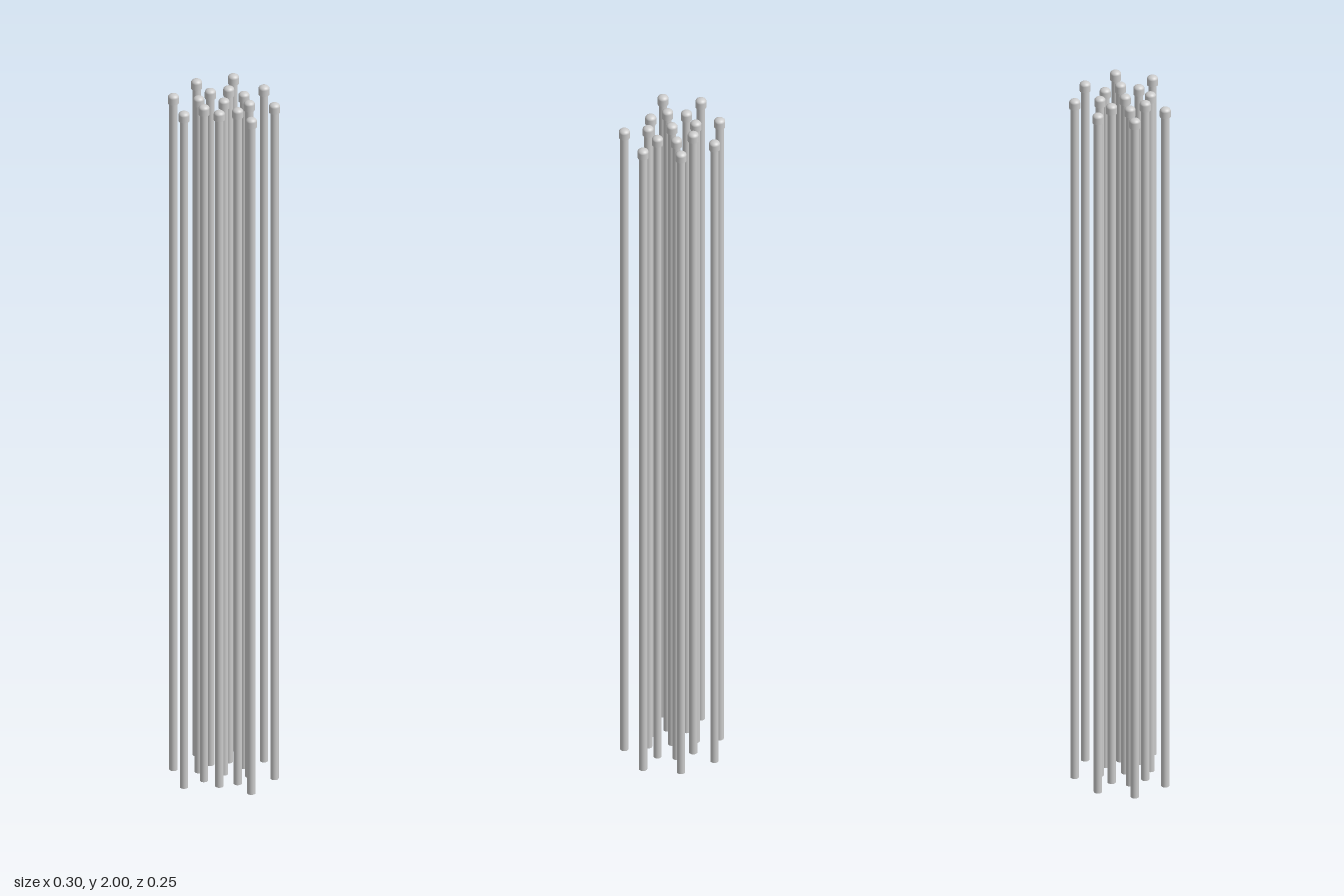
import * as THREE from 'three';

const MAT = new THREE.MeshStandardMaterial({ color: 0xcccccc });
const ROD_R = 0.011, CAP_R = 0.0145, CAP_BASE = 1.973, SHOULDER = 1.99;

// Slim round rod
function rodGeometry() {
  const h = CAP_BASE + 0.004;
  return new THREE.CylinderGeometry(ROD_R, ROD_R, h, 24).translate(0, h / 2, 0);
}

// Short wider cap: flat underside, straight wall, domed top
function capGeometry() {
  const wall = new THREE.CylinderGeometry(CAP_R, CAP_R, SHOULDER - CAP_BASE, 24, 1, true)
    .translate(0, (SHOULDER + CAP_BASE) / 2, 0);
  const dome = new THREE.SphereGeometry(CAP_R, 24, 8, 0, Math.PI * 2, 0, Math.PI / 2)
    .scale(1, (2 - SHOULDER) / CAP_R, 1).translate(0, SHOULDER, 0);
  const under = new THREE.CircleGeometry(CAP_R, 24).rotateX(Math.PI / 2).translate(0, CAP_BASE, 0);
  return { capWall: wall, capDome: dome, capUnderside: under };
}

export function createModel() {
  const model = new THREE.Group();
  model.name = 'rodBundle';
  const parts = { rod: rodGeometry(), ...capGeometry() };

  const addRod = (x, z, name) => {
    const g = new THREE.Group();
    g.name = name;
    for (const [part, geo] of Object.entries(parts)) {
      const m = new THREE.Mesh(geo, MAT);
      m.name = part;
      g.add(m);
    }
    g.position.set(x, 0, z);
    model.add(g);
  };

  // One centre rod and two rings of eight; the outer ring has no front rod
  const step = 0.0667, zMid = 0.0215;
  addRod(0, zMid, 'centreRod');
  for (const ring of [1, 2]) {
    for (let i = 0; i < 8; i++) {
      if (ring === 2 && i === 0) continue;
      const a = (i * Math.PI) / 4;
      // diagonal rods sit at two thirds of the step on both axes
      const r = step * ring * (i % 2 ? (2 / 3) * Math.SQRT2 : 1);
      addRod(r * Math.sin(a), zMid + r * Math.cos(a), ring === 1 ? 'innerRod' : 'outerRod');
    }
  }
  return model;
}
